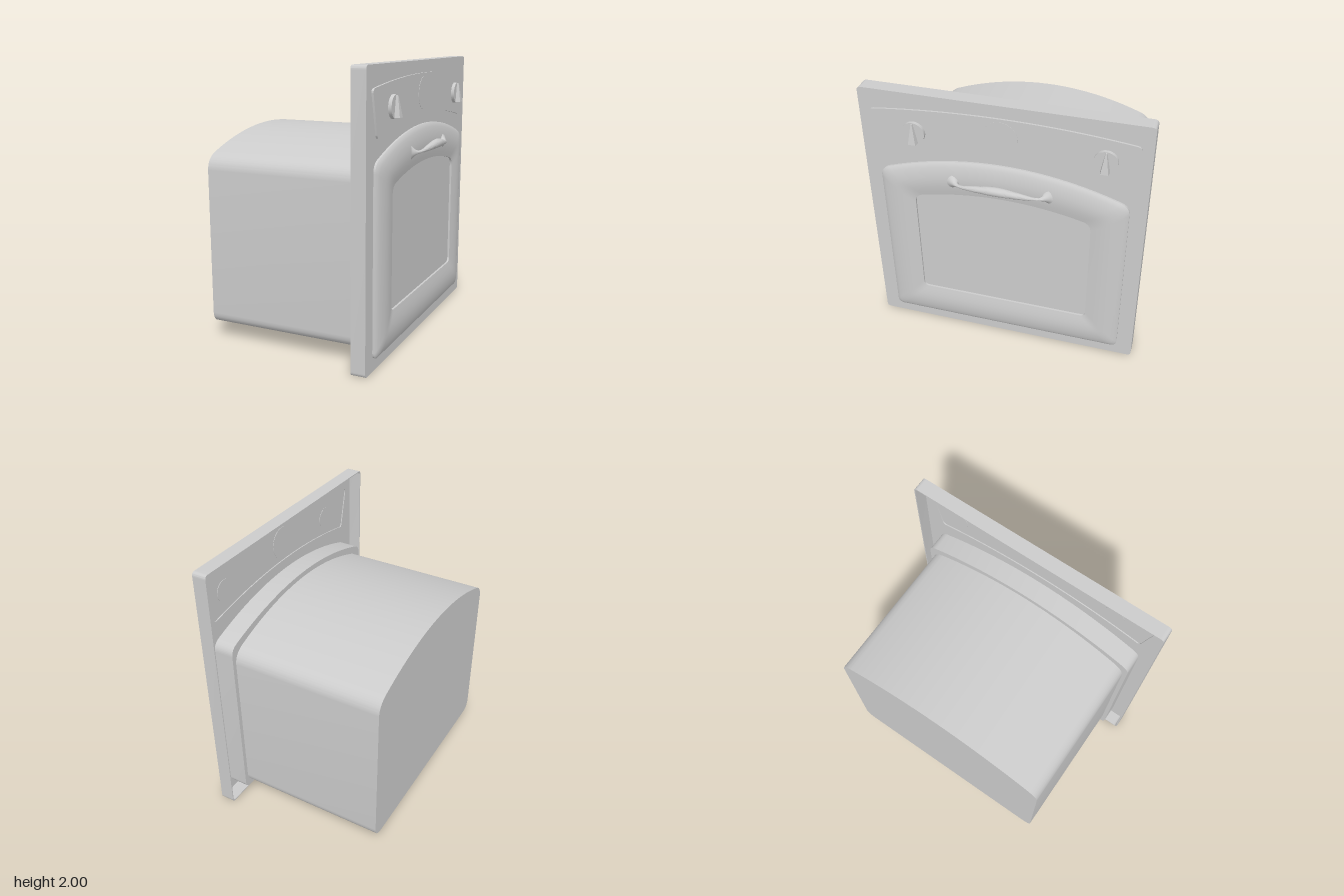
import * as THREE from 'three';
import { toCreasedNormals } from 'three/addons/utils/BufferGeometryUtils.js';
import { ConvexGeometry } from 'three/addons/geometries/ConvexGeometry.js';

const material = new THREE.MeshStandardMaterial({ color: 0xcccccc, side: THREE.DoubleSide });

// Shapes are drawn as seen facing the oven; depth then becomes +x.
function addPart(parent, name, geometry, creaseAngle = 0.6) {
  const flat = geometry.index ? geometry.toNonIndexed() : geometry;
  const mesh = new THREE.Mesh(toCreasedNormals(flat, creaseAngle).rotateY(Math.PI / 2), material);
  mesh.name = name;
  parent.add(mesh);
  return mesh;
}

function slab(shape, from, to) {
  return new THREE.ExtrudeGeometry(shape, { depth: to - from, bevelEnabled: false, curveSegments: 20 })
    .translate(0, 0, from);
}

// Rounded box outline with an arched top
function archShape(w, bottom, side, top, rb, rt) {
  const s = new THREE.Shape();
  const e = w - rt;
  const ey = top - (top - side) * (e / w) ** 2;
  s.moveTo(-w + rb, bottom);
  s.lineTo(w - rb, bottom);
  s.quadraticCurveTo(w, bottom, w, bottom + rb);
  s.lineTo(w, side - rt);
  s.quadraticCurveTo(w, side, e, ey);
  s.quadraticCurveTo(0, 2 * top - ey, -e, ey);
  s.quadraticCurveTo(-w, side, -w, side - rt);
  s.lineTo(-w, bottom + rb);
  s.quadraticCurveTo(-w, bottom, -w + rb, bottom);
  return s;
}

function roundedRect(w, y0, y1, r) {
  return archShape(w, y0, y1, y1, r, r);
}

// Curved control fascia outline with softened corners
function fasciaShape() {
  const s = new THREE.Shape();
  s.moveTo(-0.815, 1.545);
  s.quadraticCurveTo(0, 1.71, 0.815, 1.545);
  s.quadraticCurveTo(0.84, 1.535, 0.85, 1.565);
  s.lineTo(0.912, 1.825);
  s.quadraticCurveTo(0.918, 1.852, 0.885, 1.858);
  s.quadraticCurveTo(0, 1.965, -0.885, 1.858);
  s.quadraticCurveTo(-0.918, 1.852, -0.912, 1.825);
  s.lineTo(-0.85, 1.565);
  s.quadraticCurveTo(-0.84, 1.535, -0.815, 1.545);
  return s;
}

// Skin stretched between two matching outlines, following [inset, depth] steps
function loft(outer, inner, profile) {
  const [a, b] = [outer, inner].map((s) => s.getPoints(20).slice(0, -1));
  const n = a.length;
  const positions = [];
  const index = [];
  profile.forEach(([t, depth], i) => {
    for (let j = 0; j < n; j++) {
      const p = a[j].clone().lerp(b[j], t);
      positions.push(p.x, p.y, depth);
      if (i === 0) continue;
      const k = (j + 1) % n;
      const o = (i - 1) * n;
      index.push(o + j, o + k, o + n + k, o + j, o + n + k, o + n + j);
    }
  });
  const g = new THREE.BufferGeometry();
  g.setAttribute('position', new THREE.Float32BufferAttribute(positions, 3));
  g.setIndex(index);
  return g;
}

// Tube whose thickness varies along its length; points are [x, y, depth, radius]
function taperedTube(points) {
  const path = new THREE.CatmullRomCurve3(points.map((p) => new THREE.Vector3(p[0], p[1], p[2])));
  const radii = new THREE.CatmullRomCurve3(points.map((p, i) => new THREE.Vector3(i, p[3], 0)));
  const segments = 80;
  const sides = 20;
  const g = new THREE.TubeGeometry(path, segments, 1, sides, false);
  const pos = g.attributes.position;
  const v = new THREE.Vector3();
  for (let i = 0; i <= segments; i++) {
    const c = path.getPointAt(i / segments);
    // same curve parameter for position and radius
    const r = radii.getPoint(path.getUtoTmapping(i / segments)).y;
    for (let j = 0; j <= sides; j++) {
      const k = i * (sides + 1) + j;
      v.fromBufferAttribute(pos, k).sub(c).multiplyScalar(r).add(c);
      pos.setXYZ(k, v.x, v.y, v.z);
    }
  }
  return g;
}

export function createModel() {
  const oven = new THREE.Group();
  oven.name = 'builtInOven';

  // Oven cavity and the flange behind the front panel
  addPart(oven, 'ovenBody', slab(archShape(0.845, 0.12, 1.33, 1.51, 0.09, 0.09), -0.71, 0.41));
  const doorOutline = archShape(0.877, 0.085, 1.385, 1.55, 0.05, 0.06);
  addPart(oven, 'flange', slab(doorOutline, 0.403, 0.562));

  // Front panel: thin sheet with a folded rim, open at the back
  const rim = roundedRect(0.99, 0, 2, 0.03);
  rim.holes.push(roundedRect(0.982, 0.008, 1.992, 0.025));
  addPart(oven, 'panelRim', slab(rim, 0.455, 0.56));
  const sheet = roundedRect(0.99, 0, 2, 0.03);
  sheet.holes.push(fasciaShape());
  addPart(oven, 'panelSheet', slab(sheet, 0.552, 0.56));

  // Control fascia with round dial
  addPart(oven, 'controlFascia', slab(fasciaShape(), 0.56, 0.574));
  const dial = new THREE.Shape().absarc(0, 1.77, 0.12, 0, Math.PI * 2);
  addPart(oven, 'dial', slab(dial, 0.557, 0.576));

  // Knobs with sloping pointers
  for (const x of [-0.6, 0.7]) {
    const knob = new THREE.Group();
    knob.name = 'knob';
    const disc = new THREE.Shape().absarc(x, 1.722, 0.08, 0, Math.PI * 2);
    addPart(knob, 'knobDisc', slab(disc, 0.557, 0.598));
    const corners = [];
    for (const s of [-1, 1]) {
      corners.push(
        new THREE.Vector3(x + s * 0.034, 1.652, 0.59),
        new THREE.Vector3(x + s * 0.026, 1.652, 0.634),
        new THREE.Vector3(x + s * 0.006, 1.797, 0.59),
        new THREE.Vector3(x + s * 0.004, 1.797, 0.611),
      );
    }
    addPart(knob, 'knobPointer', new ConvexGeometry(corners), 0.2);
    oven.add(knob);
  }

  // Door: pillowed frame around a recessed window
  const windowOutline = archShape(0.63, 0.345, 1.205, 1.29, 0.04, 0.06);
  addPart(oven, 'doorFrame', loft(doorOutline, windowOutline, [
    [0, 0.555], [0, 0.574], [0.04, 0.583], [0.12, 0.592], [0.25, 0.601], [0.4, 0.607],
    [0.55, 0.609], [0.7, 0.606], [0.85, 0.6], [1, 0.592], [1, 0.576],
  ]), 0.7);
  addPart(oven, 'doorWindow', slab(windowOutline, 0.56, 0.577));

  // Bowed handle, thick in the middle, with flared feet
  const half = [
    [0.325, 1.386, 0.598, 0.052], [0.318, 1.386, 0.612, 0.034], [0.302, 1.386, 0.632, 0.016],
    [0.265, 1.388, 0.652, 0.011], [0.14, 1.402, 0.668, 0.023],
  ];
  const mirrored = half.map(([x, ...rest]) => [-x, ...rest]);
  addPart(oven, 'handle',
    taperedTube([...mirrored, [0, 1.412, 0.674, 0.032], ...half.reverse()]), 1.2);

  return oven;
}
